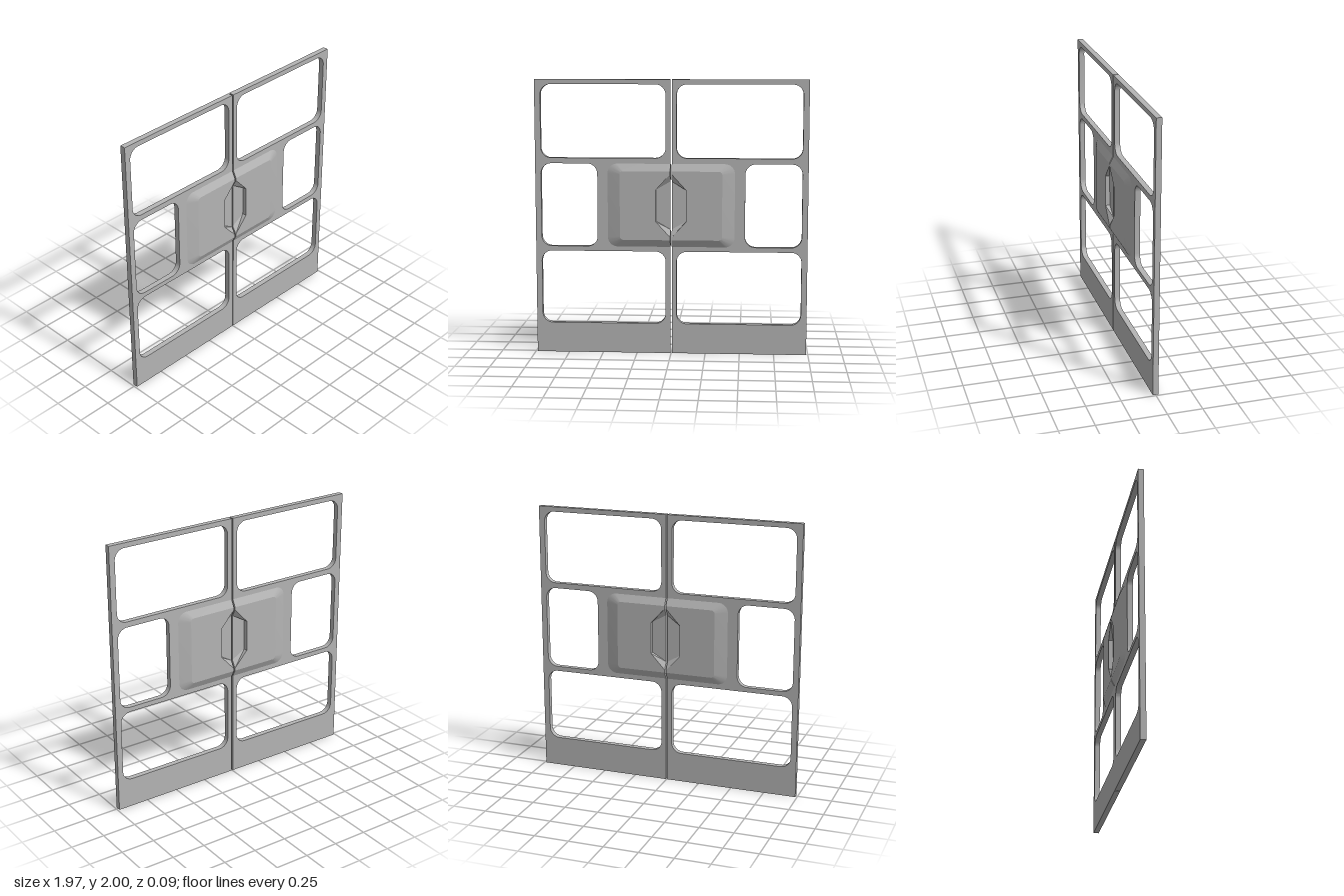
import * as THREE from 'three';
import { toCreasedNormals } from 'three/addons/utils/BufferGeometryUtils.js';

const EDGE = 0.005;    // half of the gap between the doors
const MID = 1.0925;    // height of the lock boss centre
const SLAB = 0.02;     // half thickness of the door
const BOSS = 0.047;    // boss height from the door's middle plane
const FLOOR = 0.015;   // recess floor

const V = (x, y) => new THREE.Vector2(x, y);

// Rounded rectangular window opening
function windowHole(x0, y0, x1, y1, r = 0.075) {
  const p = new THREE.Path();
  p.absarc(x1 - r, y0 + r, r, -Math.PI / 2, 0);
  p.absarc(x1 - r, y1 - r, r, 0, Math.PI / 2);
  p.absarc(x0 + r, y1 - r, r, Math.PI / 2, Math.PI);
  p.absarc(x0 + r, y0 + r, r, Math.PI, Math.PI * 1.5);
  p.closePath();
  return p;
}

// Half outline of a rounded plate, open at the door's meeting edge
function halfOutline(w, h, r, n = 8) {
  const pts = [V(EDGE, -h)];
  for (const side of [-1, 1]) {
    for (let i = 0; i <= n; i++) {
      const a = (i / n + (side < 0 ? -1 : 0)) * Math.PI / 2;
      pts.push(V(w - r + r * Math.cos(a), side * (h - r) + r * Math.sin(a)));
    }
  }
  pts.push(V(EDGE, h));
  return pts;
}

// Strip of faces between two matching outlines at different depths
function strip(outer, zOuter, inner, zInner) {
  const pos = [], index = [];
  outer.forEach((o, i) => {
    pos.push(o.x, o.y, zOuter, inner[i].x, inner[i].y, zInner);
    if (i) {
      const a = 2 * (i - 1);
      index.push(a, a + 2, a + 3, a, a + 3, a + 1);
    }
  });
  const g = new THREE.BufferGeometry();
  g.setAttribute('position', new THREE.Float32BufferAttribute(pos, 3));
  g.setIndex(index);
  return toCreasedNormals(g, 0.4);
}

const flat = (pts, z) => new THREE.ShapeGeometry(new THREE.Shape(pts)).translate(0, 0, z);

export function createModel() {
  const grey = new THREE.MeshStandardMaterial({ color: 0xb4b4b4, side: THREE.DoubleSide });
  grey.name = 'grey metal';

  const add = (parent, name, geometry) => {
    const m = new THREE.Mesh(geometry, grey);
    m.name = name;
    parent.add(m);
  };

  // Recess outlines, relative to the boss centre
  const rim = [V(EDGE, -0.23), V(0.11, -0.115), V(0.11, 0.115), V(EDGE, 0.23)];
  const floor = [V(EDGE, -0.175), V(0.109, -0.115), V(0.109, 0.115), V(EDGE, 0.175)];

  function makeDoor(name) {
    const door = new THREE.Group();
    door.name = name;

    // Door frame with three windows and a notch for the handle recess
    const outline = new THREE.Shape([
      V(EDGE, 0), V(0.987, 0), V(0.987, 2), V(EDGE, 2),
      ...[...rim].reverse().map(p => V(p.x, p.y + MID)),
    ]);
    outline.holes.push(
      windowHole(0.04, 1.435, 0.945, 1.965),
      windowHole(0.535, 0.79, 0.945, 1.395),
      windowHole(0.04, 0.22, 0.945, 0.755),
    );
    const frame = new THREE.ExtrudeGeometry(outline, { depth: 2 * SLAB, bevelEnabled: false, curveSegments: 8 });
    add(door, 'doorFrame', toCreasedNormals(frame.translate(0, 0, -SLAB), 0.5));

    // Raised boss with a handle recess, on both faces
    const base = halfOutline(0.46, 0.3025, 0.07);
    const top = halfOutline(0.37, 0.25, 0.025);
    for (const side of ['front', 'back']) {
      const boss = new THREE.Group();
      boss.name = side + 'Boss';
      boss.position.y = MID;
      if (side === 'back') boss.rotation.x = Math.PI;
      add(boss, 'bossBevel', strip(base, SLAB, top, BOSS));
      add(boss, 'bossFace', flat([...top, ...[...rim].reverse()], BOSS));
      add(boss, 'recessWall', strip(rim, BOSS, floor, FLOOR));
      add(boss, 'recessFloor', flat(floor, FLOOR));
      // Cap on the meeting edge: drawn as (-z, y), then turned to face the gap
      const cap = flat([
        V(0, -0.3025), V(SLAB, -0.3025), V(BOSS, -0.25), V(BOSS, -0.23), V(FLOOR, -0.175),
        V(FLOOR, 0.175), V(BOSS, 0.23), V(BOSS, 0.25), V(SLAB, 0.3025), V(0, 0.3025),
      ], 0).rotateY(-Math.PI / 2).translate(EDGE, 0, 0);
      add(boss, 'meetingEdge', cap);
      door.add(boss);
    }
    return door;
  }

  const model = new THREE.Group();
  model.name = 'doubleDoor';
  const left = makeDoor('leftDoor');
  const right = makeDoor('rightDoor');
  right.rotation.y = Math.PI;
  model.add(left, right);
  return model;
}
